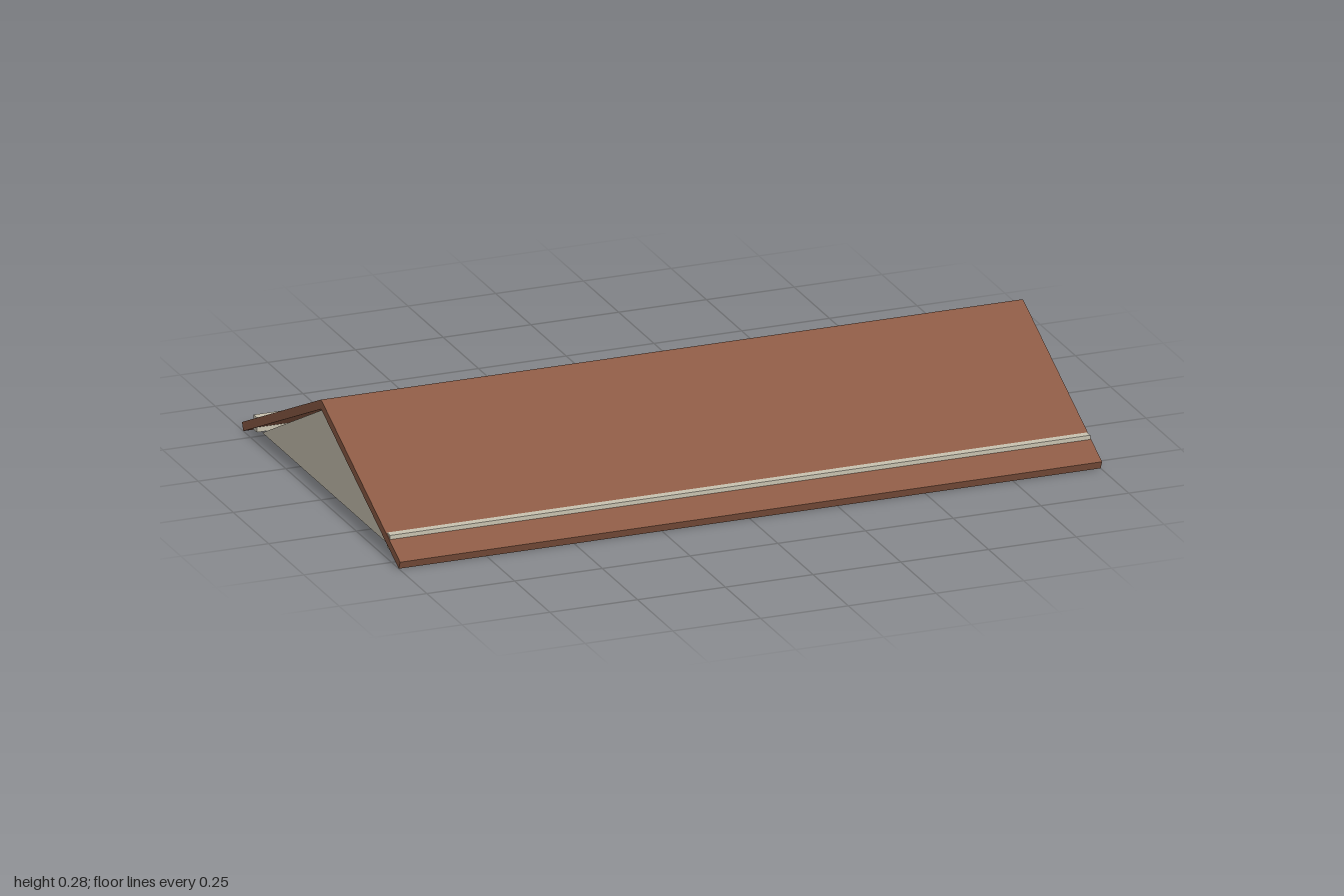
import * as THREE from 'three';

const tile = new THREE.MeshStandardMaterial({ color: 0x8b5a44 });
const cream = new THREE.MeshStandardMaterial({ color: 0xc8c2b0 });

// Extrudes a (z, y) outline along x, centred on x = cx
function prism(name, points, length, cx, material) {
  const shape = new THREE.Shape(points.map(([z, y]) => new THREE.Vector2(-z, y)));
  const geometry = new THREE.ExtrudeGeometry(shape, { depth: length, bevelEnabled: false });
  geometry.translate(0, 0, -length / 2).rotateY(Math.PI / 2).translate(cx, 0, 0);
  const mesh = new THREE.Mesh(geometry, material);
  mesh.name = name;
  return mesh;
}

export function createModel() {
  const roof = new THREE.Group();
  roof.name = 'gableRoof';

  for (const side of [1, -1]) {
    const label = side > 0 ? 'front' : 'back';

    // Sloping roof panel, meeting its twin at the ridge
    const panel = [[0, 0.257], [0.551, 0], [0.561, 0.022], [0.004, 0.282], [0, 0.282]];
    roof.add(prism(label + 'RoofPanel', panel.map(([z, y]) => [z * side, y]), 2, 0, tile));

    // Eave rail running through the panel
    const rail = new THREE.Mesh(new THREE.BoxGeometry(1.995, 0.042, 0.023), cream);
    rail.name = label + 'EaveRail';
    rail.position.set(0, 0.049, side * 0.472);
    roof.add(rail);

    // Triangular end wall, set slightly in from the roof edge
    const wall = [[-0.467, 0.022], [0.467, 0.022], [0, 0.258]];
    roof.add(prism(side > 0 ? 'leftGable' : 'rightGable', wall, 0.025, side * 0.967, cream));
  }
  return roof;
}
